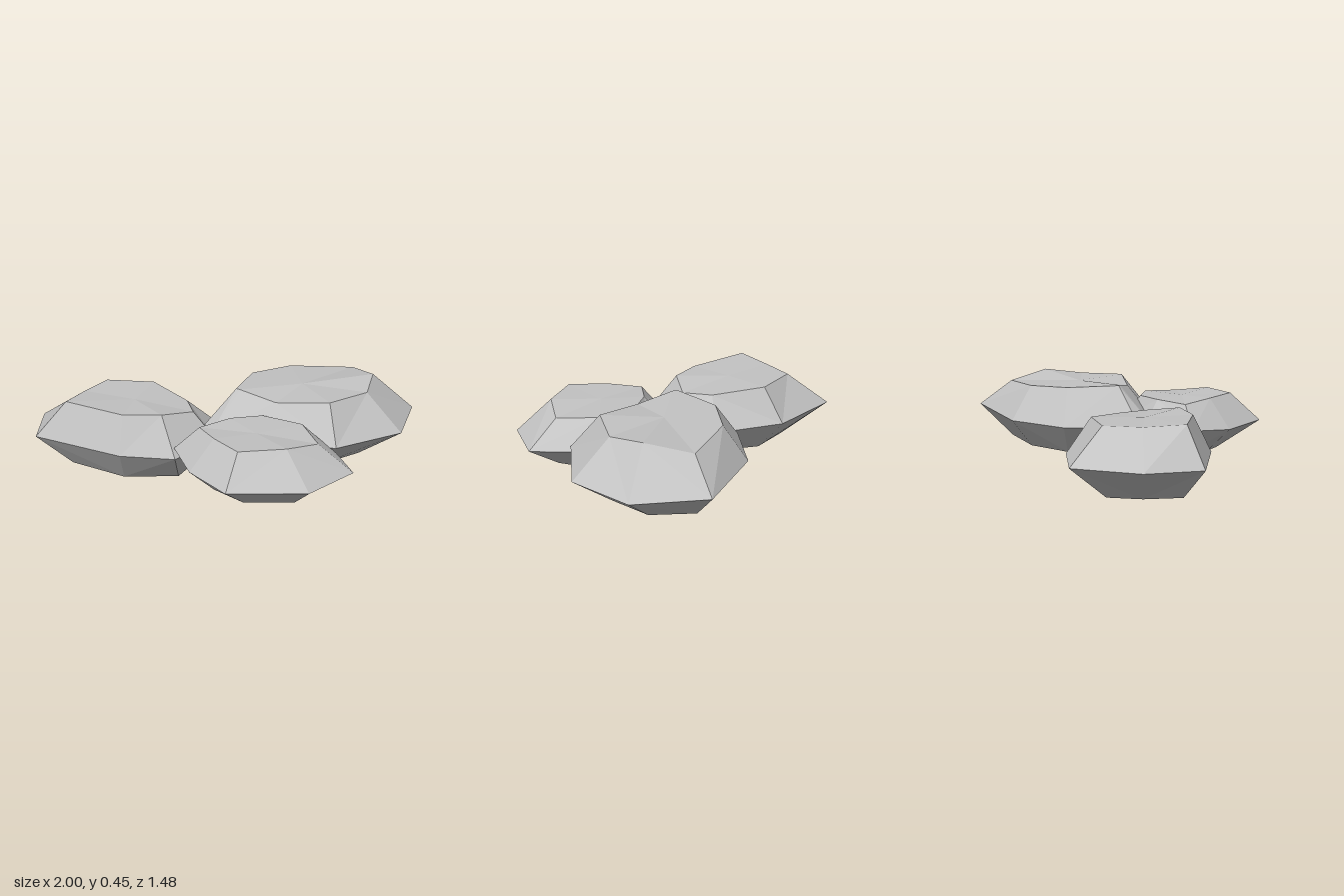
import * as THREE from 'three';

// Each rock is three rings of [x, y, z] corners, running from +x towards +z,
// closed above and below by fans around the ring's average point.
function buildRock(name, rings, material) {
  const pos = [];
  const tri = (a, b, c) => pos.push(...a, ...b, ...c);
  const n = rings[0].length;
  const centre = ring => [0, 1, 2].map(k => ring.reduce((s, p) => s + p[k], 0) / n);
  const [bottom, , top] = rings;
  const low = centre(bottom), high = centre(top);

  for (let i = 0; i < n; i++) {
    const j = (i + 1) % n;
    // sloping flanks
    for (let r = 0; r < 2; r++) {
      const a = rings[r], b = rings[r + 1];
      if (i % 2) {
        tri(a[i], b[i], a[j]);
        tri(a[j], b[i], b[j]);
      } else {
        tri(a[i], b[i], b[j]);
        tri(a[i], b[j], a[j]);
      }
    }
    // flat faces
    tri(high, top[j], top[i]);
    tri(low, bottom[i], bottom[j]);
  }

  const geometry = new THREE.BufferGeometry();
  geometry.setAttribute('position', new THREE.Float32BufferAttribute(pos, 3));
  geometry.computeVertexNormals();
  const mesh = new THREE.Mesh(geometry, material);
  mesh.name = name;
  return mesh;
}

export function createModel() {
  const group = new THREE.Group();
  group.name = 'rockCluster';
  const stone = new THREE.MeshStandardMaterial({ color: 0xc2c2c2, flatShading: true });
  stone.name = 'stone grey';

  // broad low rock on the right side
  group.add(buildRock('rightRock', [
    [[-0.12, 0.05, 0.04], [-0.19, 0.02, 0.17], [-0.48, 0, 0.18], [-0.78, 0.02, 0.09],
      [-0.75, 0.015, -0.1], [-0.66, 0.01, -0.26], [-0.41, 0.01, -0.26], [-0.18, 0.02, -0.1]],
    [[0, 0.19, 0.07], [-0.18, 0.18, 0.31], [-0.47, 0.175, 0.305], [-0.96, 0.185, 0.15],
      [-1, 0.19, -0.15], [-0.81, 0.19, -0.46], [-0.4, 0.18, -0.415], [-0.06, 0.19, -0.21]],
    [[-0.13, 0.34, 0.05], [-0.27, 0.37, 0.19], [-0.47, 0.365, 0.21], [-0.8, 0.375, 0.1],
      [-0.75, 0.36, -0.1], [-0.67, 0.36, -0.28], [-0.41, 0.36, -0.29], [-0.19, 0.34, -0.1]],
  ], stone));

  // largest rock at the back left
  group.add(buildRock('backRock', [
    [[0.77, 0.085, -0.38], [0.73, 0.08, -0.14], [0.55, 0.08, 0.03], [0.29, 0.08, 0.03],
      [0.1, 0.08, -0.02], [0.07, 0.08, -0.06], [0.12, 0.085, -0.33], [0.32, 0.09, -0.5], [0.64, 0.095, -0.57]],
    [[1, 0.24, -0.44], [0.95, 0.24, -0.07], [0.63, 0.25, 0.2], [0.3, 0.24, 0.17],
      [-0.03, 0.24, 0.1], [-0.09, 0.24, 0.02], [-0.02, 0.24, -0.37], [0.26, 0.24, -0.61], [0.77, 0.26, -0.74]],
    [[0.78, 0.45, -0.36], [0.76, 0.425, -0.15], [0.58, 0.435, 0.05], [0.3, 0.41, 0.03],
      [0.1, 0.44, -0.05], [0.08, 0.44, -0.06], [0.13, 0.43, -0.33], [0.32, 0.42, -0.5], [0.66, 0.405, -0.57]],
  ], stone));

  // smaller rock leaning against the front
  group.add(buildRock('frontRock', [
    [[0.54, 0.09, 0.36], [0.45, 0.065, 0.47], [0.2, 0.065, 0.51], [0.04, 0.08, 0.42],
      [-0.04, 0.08, 0.28], [0.06, 0.07, 0.17], [0.26, 0.055, 0.12], [0.45, 0.07, 0.18]],
    [[0.73, 0.21, 0.39], [0.535, 0.205, 0.645], [0.145, 0.22, 0.74], [-0.07, 0.21, 0.51],
      [-0.19, 0.23, 0.28], [0, 0.22, 0.06], [0.3, 0.21, -0.02], [0.63, 0.22, 0.19]],
    [[0.55, 0.34, 0.36], [0.41, 0.37, 0.51], [0.18, 0.37, 0.58], [0.04, 0.365, 0.43],
      [-0.06, 0.35, 0.27], [0.08, 0.36, 0.15], [0.24, 0.36, 0.09], [0.45, 0.355, 0.16]],
  ], stone));

  return group;
}
